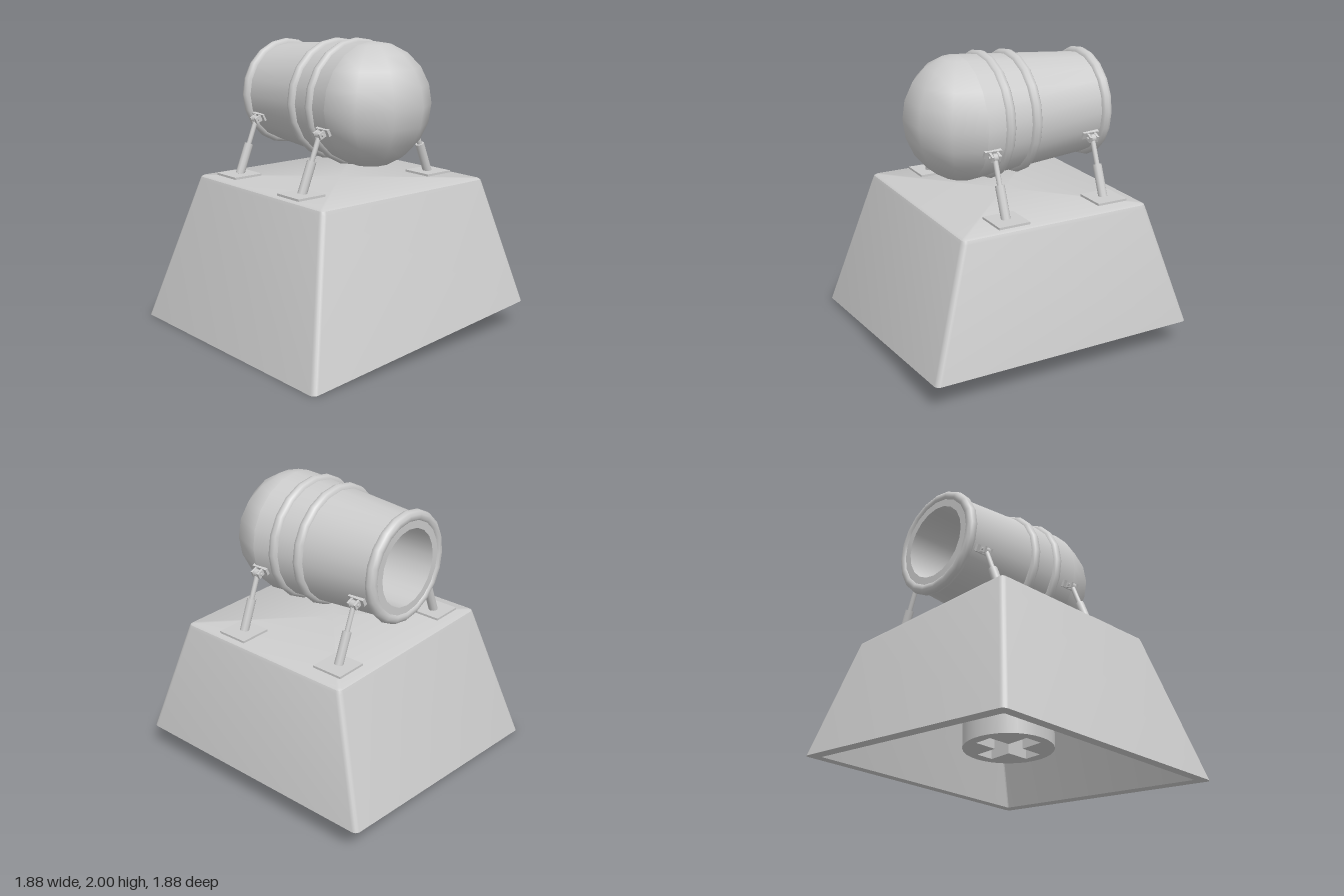
import * as THREE from 'three';
import { toCreasedNormals } from 'three/addons/utils/BufferGeometryUtils.js';

const material = new THREE.MeshStandardMaterial({ color: 0xcccccc });
const AXIS_Y = 1.57, AXIS_Z = -0.06;

function add(parent, name, geometry, x = 0, y = 0, z = 0) {
  const mesh = new THREE.Mesh(geometry, material);
  mesh.name = name;
  mesh.position.set(x, y, z);
  parent.add(mesh);
  return mesh;
}

// Rounded rectangle loop; height may depend on z
function loop({ hx, z0, z1, r, y }) {
  const pts = [], steps = 4;
  for (let c = 0; c < 4; c++) {
    const cx = (c === 0 || c === 3 ? 1 : -1) * (hx - r);
    const cz = c < 2 ? z1 - r : z0 + r;
    for (let i = 0; i <= steps; i++) {
      const a = (c + i / steps) * Math.PI / 2;
      const z = cz + r * Math.sin(a);
      pts.push([cx + r * Math.cos(a), typeof y === 'function' ? y(z) : y, z]);
    }
  }
  return pts;
}

function skin(rings, crease) {
  const loops = rings.map(loop), n = loops[0].length, index = [];
  for (let i = 0; i < loops.length - 1; i++) {
    for (let j = 0; j < n; j++) {
      const k = (j + 1) % n, a = i * n, b = a + n;
      index.push(a + j, b + j, b + k, a + j, b + k, a + k);
    }
  }
  const g = new THREE.BufferGeometry();
  g.setAttribute('position', new THREE.Float32BufferAttribute(loops.flat(2), 3));
  g.setIndex(index);
  return toCreasedNormals(g, crease);
}

// Hollow tapered pedestal with a sloping bottom rim, and its socket below
function buildPedestal() {
  const g = new THREE.Group();
  g.name = 'pedestal';
  const rim = z => 0.18 * (0.94 - z) / 1.88;
  add(g, 'pedestalShell', skin([
    { hx: 0, z0: -0.065, z1: -0.065, r: 0, y: 0.95 },
    { hx: 0.61, z0: -0.72, z1: 0.59, r: 0.01, y: 0.95 },
    { hx: 0.86, z0: -0.86, z1: 0.86, r: 0.01, y: rim },
    { hx: 0.94, z0: -0.94, z1: 0.94, r: 0.035, y: rim },
    { hx: 0.678, z0: -0.787, z1: 0.657, r: 0.035, y: 1.0 },
    { hx: 0.67, z0: -0.779, z1: 0.649, r: 0.03, y: 1.02 },
    { hx: 0.655, z0: -0.764, z1: 0.634, r: 0.02, y: 1.03 },
    { hx: 0, z0: -0.065, z1: -0.065, r: 0, y: 1.03 },
  ], 0.6));

  // Round stem with a plus-shaped hole
  const shape = new THREE.Shape().absarc(0, 0, 0.305, 0, Math.PI * 2);
  const l = 0.23, w = 0.065;
  const plus = [[l, w], [w, w], [w, l], [-w, l], [-w, w], [-l, w],
    [-l, -w], [-w, -w], [-w, -l], [w, -l], [w, -w], [l, -w]];
  shape.holes.push(new THREE.Path(plus.map(p => new THREE.Vector2(...p))));
  const stem = new THREE.ExtrudeGeometry(shape, { depth: 0.74, bevelEnabled: false, curveSegments: 16 });
  stem.rotateX(-Math.PI / 2);
  add(g, 'stem', toCreasedNormals(stem, 0.6), 0, 0.22, 0.02);

  // Stiffening ribs running from the stem towards the walls
  for (const s of [-1, 1]) {
    add(g, 'sideRib', new THREE.BoxGeometry(0.4, 0.29, 0.05), s * 0.47, 0.815, 0.02);
    add(g, 'crossRib', new THREE.BoxGeometry(0.05, 0.29, 0.35), 0, 0.815, 0.02 + s * 0.44);
  }
  return g;
}

// Tapered barrel with bore, hoops and a rounded breech
function buildBarrel() {
  const g = new THREE.Group();
  g.name = 'barrel';
  g.position.set(0, AXIS_Y, AXIS_Z);
  const profile = [[0, 0.1], [0.26, 0.1], [0.26, -0.62], [0.345, -0.62], [0.345, -0.56], [0.415, 0.33]];
  const body = new THREE.LatheGeometry(profile.map(p => new THREE.Vector2(...p)), 20);
  body.rotateZ(-Math.PI / 2);
  add(g, 'barrelBody', toCreasedNormals(body, 0.6));

  const dome = new THREE.SphereGeometry(1, 5, 10, Math.PI / 2, Math.PI);
  dome.scale(0.365, 0.415, 0.415);
  add(g, 'breechDome', dome, 0.33);

  for (const [name, x, r] of [['muzzleRing', -0.593, 0.337], ['middleHoop', -0.035, 0.376], ['rearHoop', 0.165, 0.388]]) {
    const ring = new THREE.TorusGeometry(r, 0.039, 10, 20);
    ring.rotateY(Math.PI / 2);
    add(g, name, ring, x);
  }
  return g;
}

// Support leg: foot plate, sleeve, rod and hinge on the barrel side
function buildStrut(x, out, side) {
  const g = new THREE.Group();
  g.name = 'supportStrut';
  g.position.set(x, 0, AXIS_Z);
  g.rotation.y = side > 0 ? 0 : Math.PI;
  add(g, 'footPlate', new THREE.BoxGeometry(0.22, 0.02, 0.22), 0, 1.035, out);

  const leg = new THREE.Group();
  leg.name = 'leg';
  leg.position.set(0, 1.04, out - 0.005);
  leg.rotation.x = -0.378;
  const sleeve = new THREE.CylinderGeometry(0.031, 0.031, 0.22, 10);
  add(leg, 'sleeve', sleeve, 0, 0.11);
  add(leg, 'rod', new THREE.CylinderGeometry(0.017, 0.017, 0.38, 10), 0, 0.19);
  const knuckle = new THREE.CylinderGeometry(0.026, 0.026, 0.03, 10);
  knuckle.rotateZ(Math.PI / 2);
  add(leg, 'knuckle', knuckle, 0, 0.395);
  g.add(leg);

  // Hinge bracket turned to meet the barrel surface
  const hinge = new THREE.Group();
  hinge.name = 'hinge';
  hinge.position.set(0, 1.41, out - 0.15);
  hinge.rotation.x = 0.42;
  add(hinge, 'bracketPlate', new THREE.BoxGeometry(0.12, 0.05, 0.03), 0, 0, -0.04);
  for (const s of [-1, 1]) {
    add(hinge, 'lug', new THREE.BoxGeometry(0.016, 0.042, 0.06), s * 0.026, 0, -0.005);
  }
  const pin = new THREE.CylinderGeometry(0.01, 0.01, 0.09, 8);
  pin.rotateZ(Math.PI / 2);
  add(hinge, 'pin', pin);
  g.add(hinge);
  return g;
}

export function createModel() {
  const model = new THREE.Group();
  model.name = 'cannonOnPedestal';
  model.add(buildPedestal(), buildBarrel());
  for (const side of [1, -1]) {
    model.add(buildStrut(-0.477, 0.508, side), buildStrut(0.293, 0.57, side));
  }
  return model;
}
